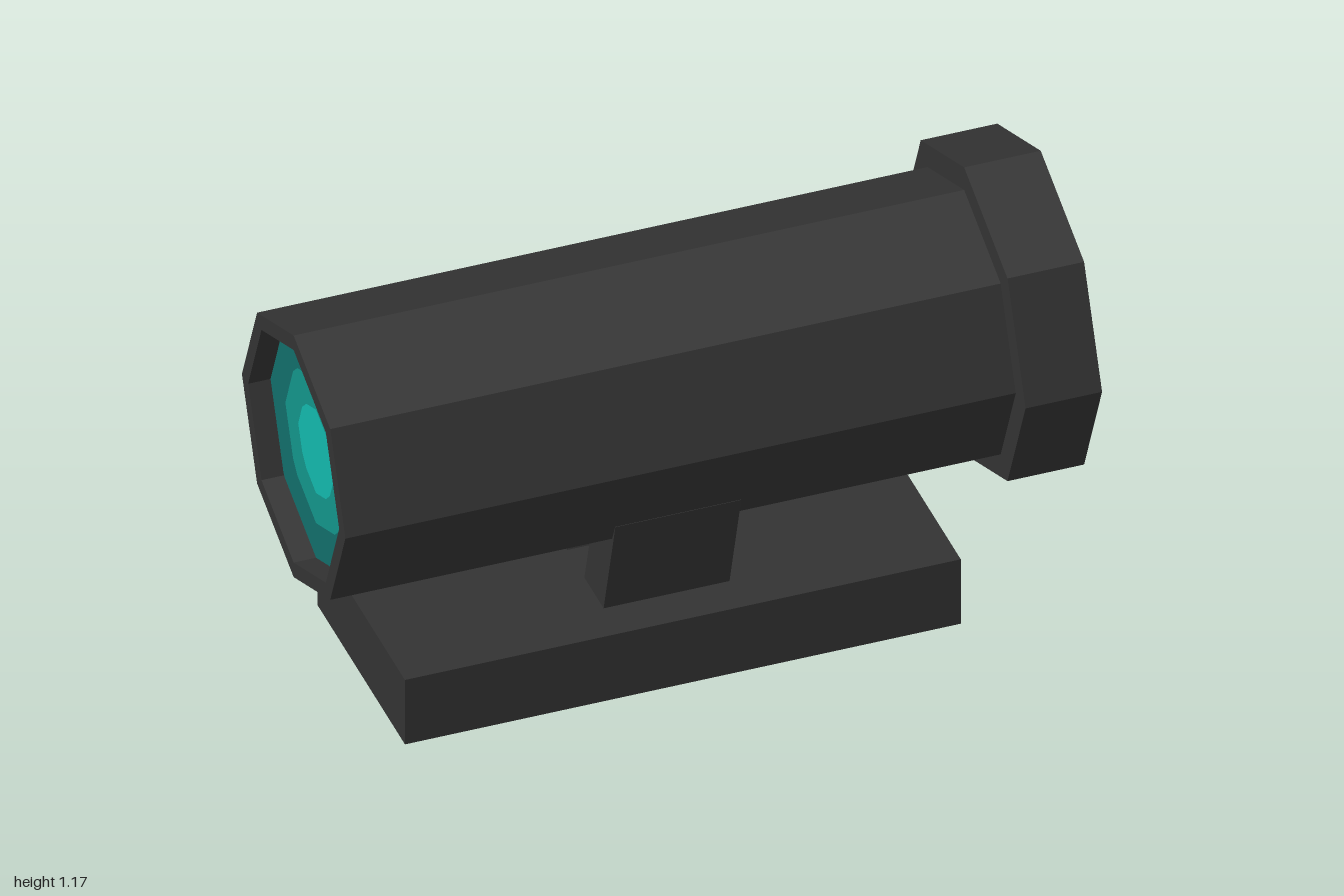
import * as THREE from 'three';

const flat = (name, color, extra = {}) => {
  const m = new THREE.MeshStandardMaterial({ color, flatShading: true, ...extra });
  m.name = name;
  return m;
};

const AXIS_Y = 0.724;

export function createModel() {
  const group = new THREE.Group();
  const body = flat('charcoal', 0x333333);
  const glass = [
    flat('deep teal', 0x126d6a),
    flat('mid teal', 0x13948a),
    flat('bright teal', 0x13b7ab),
  ];

  const add = (name, geometry, material, parent = group) => {
    const mesh = new THREE.Mesh(geometry, material);
    mesh.name = name;
    parent.add(mesh);
    return mesh;
  };

  // Octagonal solids turned around the x axis; points are [radius, x]
  const turned = (points) =>
    new THREE.LatheGeometry(points.map(([r, x]) => new THREE.Vector2(r, x)), 8).rotateZ(-Math.PI / 2);

  const barrel = new THREE.Group();
  barrel.name = 'barrel';
  barrel.position.y = AXIS_Y;
  group.add(barrel);

  // Tube with a recessed rear end, and a collar with a shallow inward bevel
  add('tube', turned([[0, -0.935], [0.33, -0.935], [0.33, -1], [0.375, -1], [0.375, 0.8]]), body, barrel);
  add('collar', turned([[0.3, 0.795], [0.445, 0.795], [0.445, 1], [0.375, 0.97], [0, 0.967]]), body, barrel);

  // Octagon whose diagonal corners are trimmed by c
  const outline = (r, c) => {
    const pts = [];
    const a = r * Math.SQRT1_2 - c;
    const b = r - a * Math.tan(Math.PI / 8);
    for (let i = 0; i < 4; i++) {
      const o = new THREE.Vector2();
      for (const [x, y] of [[r, 0], [b, a], [a, b]])
        pts.push(new THREE.Vector2(x, y).rotateAround(o, (i * Math.PI) / 2));
    }
    return pts;
  };

  // Concentric glass bands, each cut out around the next one
  const lens = (name, x, dir, scale) => {
    const g = new THREE.Group();
    g.name = name;
    g.position.x = x;
    g.rotation.y = (dir * Math.PI) / 2;
    g.scale.setScalar(scale);
    const rings = [outline(0.375, 0.007), outline(0.253, 0.025), outline(0.147, 0.024)];
    rings.forEach((pts, i) => {
      const shape = new THREE.Shape(pts);
      if (rings[i + 1]) shape.holes.push(new THREE.Path(rings[i + 1]));
      add('glassBand' + (i + 1), new THREE.ShapeGeometry(shape), glass[i], g);
    });
    barrel.add(g);
  };
  lens('objectiveLens', 0.973, 1, 1);
  lens('eyepieceLens', -0.94, -1, 0.88);

  // Mounting base
  const base = add('base', new THREE.BoxGeometry(1.488, 0.2, 0.634), body);
  base.position.set(-0.075, 0.1, 0);

  // Two splayed brackets between the base and the tube
  for (const s of [-1, 1]) {
    const profile = [[0.06, 0.19], [0.2, 0.19], [0.288, 0.51], [0.15, 0.51]];
    const shape = new THREE.Shape(profile.map(([z, y]) => new THREE.Vector2(s * z, y)));
    const geo = new THREE.ExtrudeGeometry(shape, { depth: 0.337, bevelEnabled: false });
    geo.rotateY(Math.PI / 2).translate(-0.245, 0, 0);
    add(s < 0 ? 'frontBracket' : 'rearBracket', geo, body);
  }
  return group;
}
